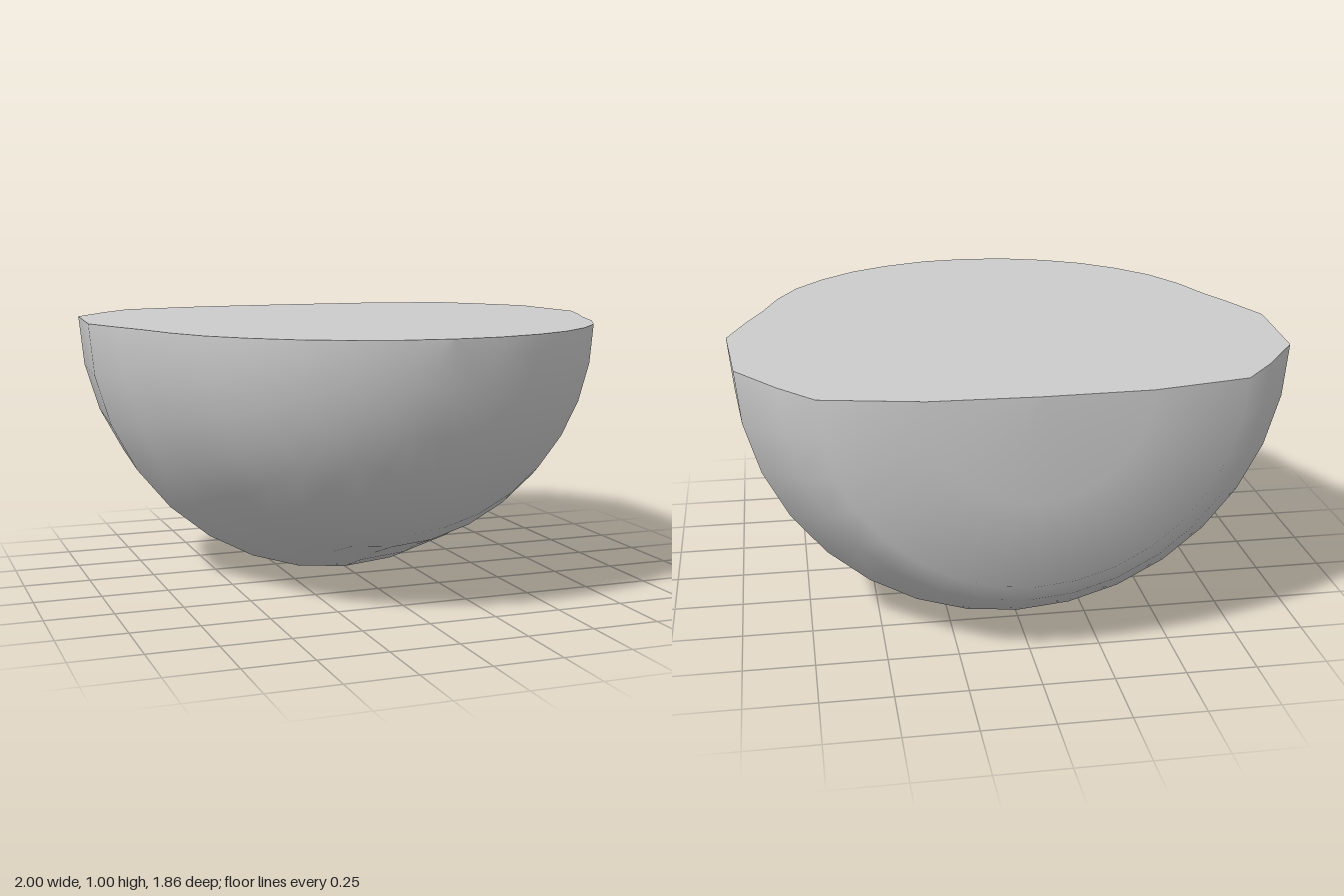
import * as THREE from 'three';

// Half of a solid of revolution about the z axis, closed by a flat top.
export function createModel() {
  const group = new THREE.Group();
  group.name = 'halfBowl';
  const material = new THREE.MeshStandardMaterial({ color: 0xcccccc });

  // Profile as (radius, z), from the blunt back to the rounded front
  const profile = [
    [0, -0.93], [0.37, -0.92], [0.71, -0.85], [0.83, -0.71], [0.97, -0.51],
    [1, -0.12], [0.93, 0.07], [0.87, 0.21], [0.81, 0.385], [0.73, 0.54],
    [0.62, 0.67], [0.49, 0.78], [0.34, 0.86], [0.17, 0.915], [0, 0.93],
  ].map(([r, z]) => new THREE.Vector2(r, z));

  // Curved shell: a half turn below the axis
  const shellGeometry = new THREE.LatheGeometry(profile, 16, -Math.PI / 2, Math.PI);
  shellGeometry.rotateX(Math.PI / 2);
  const shell = new THREE.Mesh(shellGeometry, material);
  shell.name = 'shell';
  shell.position.y = 1;
  group.add(shell);

  // Flat top: the profile mirrored across x
  const right = profile.map((p) => new THREE.Vector2(p.x, -p.y));
  const left = right.slice(1, -1).reverse().map((p) => new THREE.Vector2(-p.x, p.y));
  const topGeometry = new THREE.ShapeGeometry(new THREE.Shape([...right, ...left]));
  topGeometry.rotateX(-Math.PI / 2);
  const top = new THREE.Mesh(topGeometry, material);
  top.name = 'flatTop';
  top.position.y = 1;
  group.add(top);

  return group;
}
